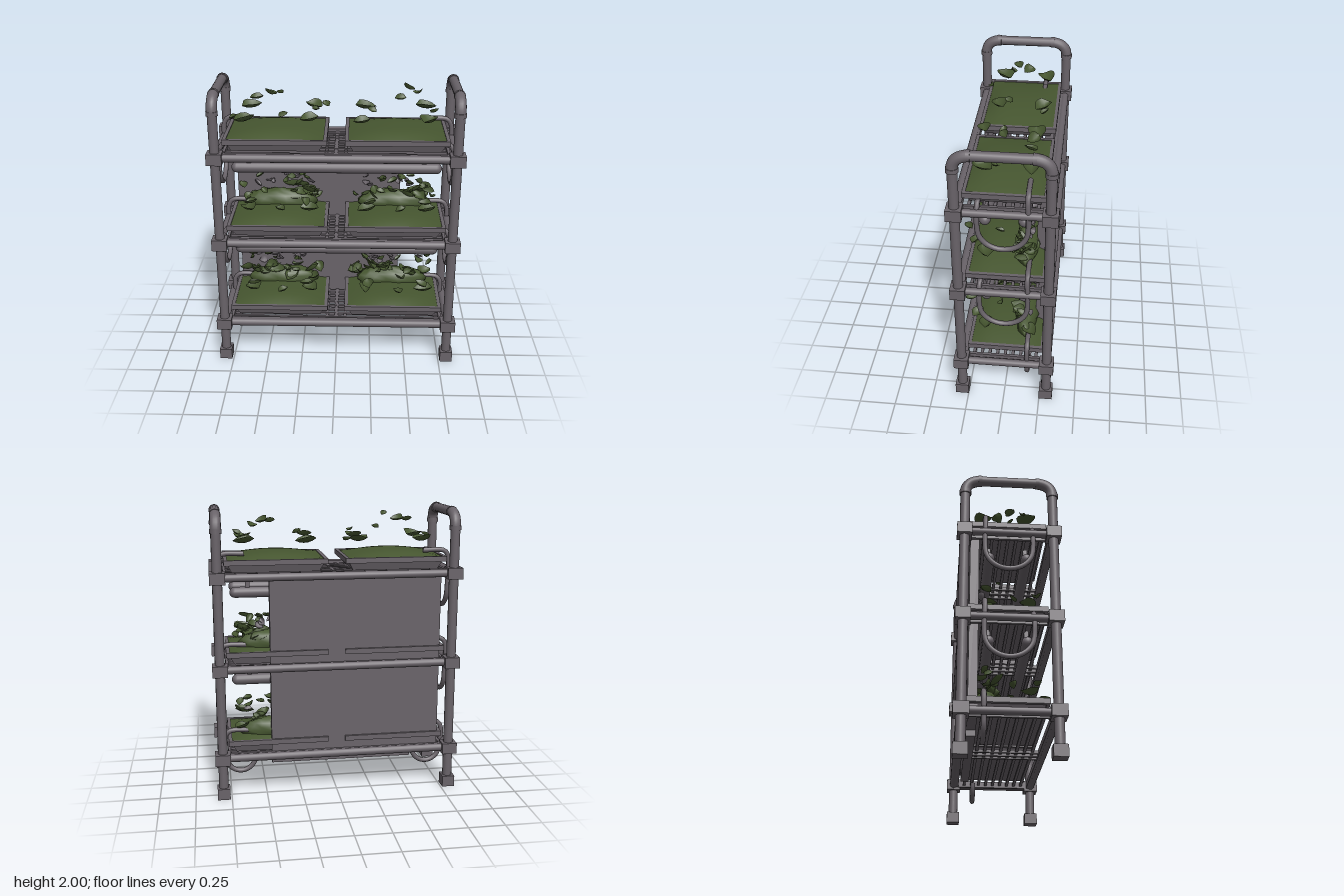
import * as THREE from 'three';

const grey = new THREE.MeshStandardMaterial({ color: 0x696369, side: THREE.DoubleSide });
grey.name = 'warm grey';
const green = new THREE.MeshStandardMaterial({ color: 0x465630, side: THREE.DoubleSide });
green.name = 'leaf green';

const V = (x, y, z) => new THREE.Vector3(x, y, z);
const TIERS = [1.555, 0.925, 0.29];
const PX = 0.805, PZ = 0.295;

let seed = 7;
const rnd = (a, b) => {
  seed = (seed * 16807) % 2147483647;
  return a + (b - a) * (seed / 2147483647);
};

function add(parent, name, geo, x = 0, y = 0, z = 0, mat = grey) {
  const m = new THREE.Mesh(geo, mat);
  m.name = name;
  m.position.set(x, y, z);
  parent.add(m);
  return m;
}
const box = (w, h, d) => new THREE.BoxGeometry(w, h, d);

// Straight round bar between two points
function bar(parent, name, a, b, r) {
  const m = add(parent, name, new THREE.CylinderGeometry(r, r, a.distanceTo(b), 16));
  m.position.copy(a).lerp(b, 0.5);
  m.quaternion.setFromUnitVectors(V(0, 1, 0), b.clone().sub(a).normalize());
  return m;
}

function hose(parent, name, pts) {
  const c = new THREE.CatmullRomCurve3(pts, false, 'centripetal');
  add(parent, name, new THREE.TubeGeometry(c, 48, 0.017, 10));
}

// Upright end frame: two posts joined by a rounded handle
function endFrame(s) {
  const g = new THREE.Group();
  g.name = 'endFrame';
  const x = s * PX, top = 1.963, bend = 0.1;
  for (const z of [-PZ, PZ]) {
    bar(g, 'post', V(x, 0.05, z), V(x, top - bend, z), 0.033);
    add(g, 'foot', box(0.088, 0.078, 0.092), x, 0.039, z);
    const inner = z - Math.sign(z) * bend;
    const elbow = new THREE.QuadraticBezierCurve3(V(x, top - bend, z), V(x, top - 0.01, z), V(x, top, inner));
    add(g, 'elbow', new THREE.TubeGeometry(elbow, 10, 0.037, 14));
    bar(g, 'elbowCollar', V(x, top - bend - 0.015, z), V(x, top - bend + 0.015, z), 0.04);
    bar(g, 'elbowCollar', V(x, top, inner - 0.012), V(x, top, inner + 0.012), 0.038);
    for (const y of TIERS) add(g, 'connector', box(0.105, 0.078, 0.1), x, y, z);
  }
  bar(g, 'handle', V(x, top, -PZ + bend), V(x, top, PZ - bend), 0.033);
  return g;
}

// Shelf: round rails, flat inner frame and wire grating
function shelf(y) {
  const g = new THREE.Group();
  g.name = 'shelf';
  for (const s of [-1, 1]) {
    bar(g, 'longRail', V(-PX, y, s * PZ), V(PX, y, s * PZ), 0.028);
    bar(g, 'endRail', V(s * PX, y, -PZ), V(s * PX, y, PZ), 0.026);
    add(g, 'frameSide', box(1.52, 0.045, 0.02), 0, y, s * 0.27);
    add(g, 'frameEnd', box(0.02, 0.045, 0.54), s * 0.755, y, 0);
    add(g, 'crossBar', box(0.02, 0.02, 0.54), s * 0.065, y - 0.005, 0);
  }
  add(g, 'crossBar', box(0.025, 0.025, 0.54), 0, y - 0.005, 0);
  for (let i = -4; i <= 4; i++) add(g, 'slat', box(1.5, 0.018, 0.02), 0, y, i * 0.054);
  return g;
}

function rectPath(P, w, d) {
  const p = new P();
  p.moveTo(-w, -d); p.lineTo(w, -d); p.lineTo(w, d); p.lineTo(-w, d); p.closePath();
  return p;
}

// Tapered tray with a raised rim, filled with a slightly domed bed
function tray(x, y) {
  const g = new THREE.Group();
  g.name = 'tray';
  g.position.set(x, y, -0.008);
  const body = box(0.67, 0.075, 0.49);
  const p = body.attributes.position;
  for (let i = 0; i < p.count; i++) if (p.getY(i) < 0) {
    p.setX(i, p.getX(i) * 0.88);
    p.setZ(i, p.getZ(i) * 0.9);
  }
  body.computeVertexNormals();
  add(g, 'trayBody', body, 0, 0.06, 0);
  const rim = rectPath(THREE.Shape, 0.35, 0.262);
  rim.holes.push(rectPath(THREE.Path, 0.325, 0.24));
  const rimGeo = new THREE.ExtrudeGeometry(rim, { depth: 0.036, bevelEnabled: false });
  rimGeo.rotateX(-Math.PI / 2);
  add(g, 'trayRim', rimGeo, 0, 0.075, 0);
  const bed = new THREE.PlaneGeometry(0.652, 0.482, 14, 10).rotateX(-Math.PI / 2);
  const q = bed.attributes.position;
  for (let i = 0; i < q.count; i++) {
    const u = q.getX(i) / 0.326, v = q.getZ(i) / 0.241;
    q.setY(i, 0.04 * (1 - u * u) * (1 - v * v * v * v));
  }
  bed.computeVertexNormals();
  add(g, 'growingBed', bed, 0, 0.106, 0, green);
  return g;
}

// Pointed, cupped leaf
function leafGeometry(len, wid, cup) {
  const geo = new THREE.PlaneGeometry(1, 1, 5, 4).rotateX(-Math.PI / 2);
  const p = geo.attributes.position;
  for (let i = 0; i < p.count; i++) {
    const t = p.getX(i) + 0.5, v = p.getZ(i) * 2;
    const w = Math.pow(Math.max(0, Math.sin(Math.PI * Math.pow(t, 0.8))), 0.7);
    p.setXYZ(i, (t - 0.5) * len, cup * (v * v * w + 2 * (t - 0.5) ** 2 - 0.5), v * w * wid / 2);
  }
  geo.computeVertexNormals();
  return geo;
}
function leaf(parent, x, y, z, size, tilt, mat = green) {
  const m = add(parent, 'leaf', leafGeometry(size, size * rnd(0.55, 0.85), size * 0.3), x, y, z, mat);
  m.rotation.set(rnd(-tilt, tilt), rnd(0, 6.28), rnd(-tilt, tilt), 'YXZ');
}

// Leafy mound at the back of a tray, with loose leaves above and in front
function foliage(x, y) {
  const g = new THREE.Group();
  g.name = 'foliage';
  const geo = new THREE.SphereGeometry(1, 18, 10);
  const p = geo.attributes.position;
  for (let i = 0; i < p.count; i++) {
    const a = p.getX(i), b = p.getY(i), c = p.getZ(i);
    const k = 1 + 0.1 * Math.sin(9 * a + 4 * b) * Math.cos(7 * c + 3 * b);
    p.setXYZ(i, a * k * 0.26, b * k * 0.085, c * k * 0.08);
  }
  geo.computeVertexNormals();
  add(g, 'mound', geo, x, y + 0.155, -0.13, green);
  for (let i = 0; i < 20; i++) leaf(g, x + rnd(-0.28, 0.28), y + rnd(0.19, 0.27), rnd(-0.18, -0.06), rnd(0.07, 0.13), 0.6);
  for (let i = 0; i < 7; i++) leaf(g, x + rnd(-0.26, 0.28), y + rnd(0.28, 0.36), rnd(-0.18, -0.08), rnd(0.06, 0.09), 0.8);
  for (let i = 0; i < 7; i++) leaf(g, x + rnd(-0.25, 0.22), y + rnd(0.26, 0.34), rnd(-0.18, -0.14), rnd(0.05, 0.08), 0.9, grey);
  for (const dx of [-0.2, 0.22]) {
    leaf(g, x + dx, y + 0.21, 0.14, 0.14, 0.15);
    leaf(g, x + dx * 0.9, y + 0.28, 0.2, 0.1, 0.4);
    leaf(g, x + dx * 0.5, y + 0.3, 0.05, 0.07, 0.6);
  }
  leaf(g, x + 0.03, y + 0.26, 0.27, 0.09, 0.4);
  return g;
}

export function createModel() {
  const root = new THREE.Group();
  root.name = 'plantRack';

  for (const s of [-1, 1]) root.add(endFrame(s));
  TIERS.forEach((y, i) => {
    root.add(shelf(y));
    for (const s of [-1, 1]) {
      root.add(tray(s * 0.41, y));
      if (i > 0) root.add(foliage(s * 0.41, y));
    }
  });

  // Back panel with a notched lower corner
  const sh = new THREE.Shape();
  [[-0.73, 0.27], [-0.53, 0.265], [-0.53, 0.225], [0.46, 0.225], [0.46, 1.56], [-0.73, 1.56]]
    .forEach(([x, y], i) => (i ? sh.lineTo(x, y) : sh.moveTo(x, y)));
  add(root, 'backPanel', new THREE.ExtrudeGeometry(sh, { depth: 0.06, bevelEnabled: false }), 0, 0, -0.253);

  // Light tubes under the two upper shelves
  for (const y of [1.428, 0.81]) for (const z of [-0.125, 0.125]) {
    const tube = add(root, 'lightTube', new THREE.CapsuleGeometry(0.038, 1.37, 5, 16), 0, y, z);
    tube.rotation.z = Math.PI / 2;
    for (const s of [-1, 1]) add(root, 'lightBracket', box(0.03, 0.1, 0.03), s * 0.6, y + 0.07, z);
  }

  // Water hoses at both ends
  for (const s of [-1, 1]) {
    for (const y of TIERS.slice(0, 2)) {
      const pts = [V(s * 0.7, y + 0.06, 0.155), V(s * 0.77, y + 0.05, 0.158), V(s * 0.8, y - 0.02, 0.16)];
      for (let i = 0; i <= 8; i++) {
        const a = Math.PI * i / 8;
        pts.push(V(s * 0.8, y - 0.12 - 0.15 * Math.sin(a), 0.158 * Math.cos(a)));
      }
      pts.push(V(s * 0.8, y + 0.1, -0.156), V(s * 0.77, y + 0.137, -0.156), V(s * 0.62, y + 0.142, -0.156));
      hose(root, 'hose', pts);
    }
    const low = [V(s * 0.62, 0.445, -0.156), V(s * 0.75, 0.44, -0.156), V(s * 0.785, 0.4, -0.156)];
    for (let i = 0; i <= 8; i++) {
      const a = Math.PI * i / 8;
      low.push(V(s * (0.675 + 0.105 * Math.cos(a)), 0.25 - 0.11 * Math.sin(a), -0.156));
    }
    hose(root, 'drainHose', low);
  }

  // Leaves above the top trays: [x, y, z, size]
  const top = new THREE.Group();
  top.name = 'topLeaves';
  root.add(top);
  [[-0.62, 1.785, 0.14, 0.16], [-0.18, 1.785, 0.13, 0.14], [-0.16, 1.79, -0.17, 0.14], [-0.6, 1.785, -0.17, 0.15],
    [0.2, 1.785, -0.16, 0.15], [0.62, 1.79, -0.16, 0.15], [0.62, 1.785, 0.14, 0.15], [0.17, 1.79, 0.19, 0.12]]
    .forEach(([x, y, z, s]) => leaf(top, x, y, z, s, 0.12));
  [[-0.54, 1.9, 0.03, 0.1], [-0.45, 1.91, -0.05, 0.1], [-0.38, 1.94, 0.05, 0.06], [-0.35, 1.83, 0.2, 0.07],
    [0.43, 1.9, 0.03, 0.09], [0.5, 1.92, -0.16, 0.1], [0.56, 1.89, -0.15, 0.09], [0.24, 1.82, 0.05, 0.07],
    [-0.08, 1.79, -0.19, 0.07], [-0.14, 1.83, 0.06, 0.07], [0.66, 1.82, 0.06, 0.07], [-0.7, 1.78, 0.1, 0.07]]
    .forEach(([x, y, z, s]) => leaf(top, x, y, z, s, 0.6));

  return root;
}
